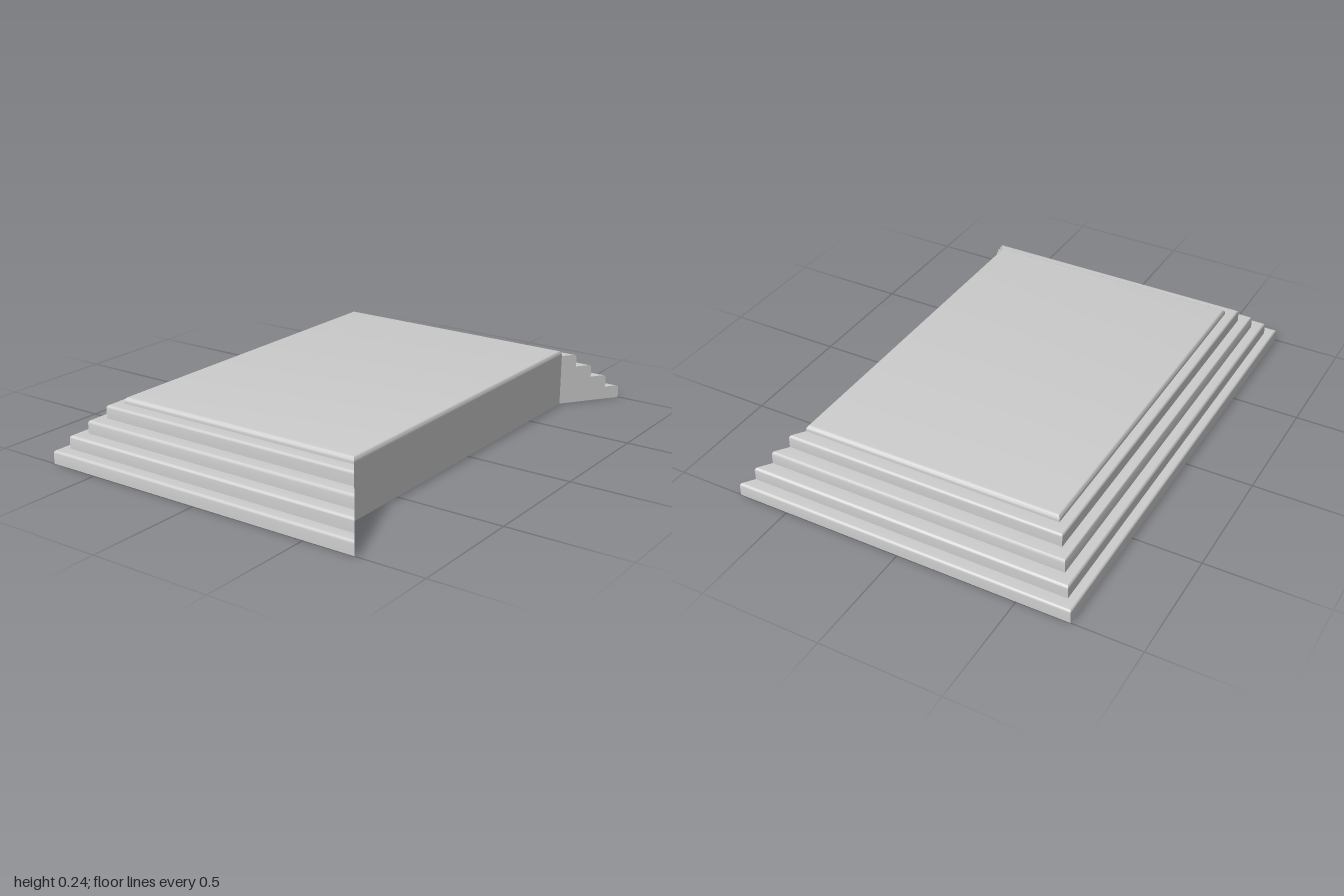
import * as THREE from 'three';
import { toCreasedNormals } from 'three/addons/utils/BufferGeometryUtils.js';

// Top slab half-sizes, and how far the steps spread beyond it
const TOP_X = 0.55, TOP_Z = 0.77, SPREAD_X = 0.167, SPREAD_Z = 0.23;

// Outline at spread t (1 = ground step, 0 = top slab). The +x side has no steps,
// so its two inner corners stay on the slab and leave mitred step ends.
function outline(t, y) {
  const x = TOP_X + SPREAD_X * t, z = TOP_Z + SPREAD_Z * t;
  const ix = Math.min(x, TOP_X), iz = Math.min(z, TOP_Z);
  return [[x, z], [-x, z], [-x, -z], [x, -z], [ix, -iz], [ix, iz]]
    .map(([px, pz]) => new THREE.Vector3(px, y, pz));
}

// Step profile: riser, rounded nosing, tread
function buildSections() {
  const steps = [ // spread, top height, nosing inset, nosing height
    [1, 0.055, 0.05, 0.011],
    [0.77, 0.109, 0.05, 0.011],
    [0.51, 0.163, 0.05, 0.011],
    [0.25, 0.217, 0.05, 0.011],
    [0, 0.242, 0.08, 0.018],
  ];
  const sections = [];
  let base = 0;
  for (const [t, top, inset, drop] of steps) {
    sections.push(outline(t, base));
    for (let i = 0; i <= 4; i++) {
      const a = (i / 4) * Math.PI / 2;
      sections.push(outline(t - inset * (1 - Math.cos(a)), top - drop * (1 - Math.sin(a))));
    }
    base = top;
  }
  return sections;
}

function steppedGeometry() {
  const sections = buildSections();
  const positions = [];
  const tri = (a, b, c) => {
    if (new THREE.Triangle(a, b, c).getArea() < 1e-7) return;
    for (const p of [a, b, c]) positions.push(p.x, p.y, p.z);
  };
  // Skin between neighbouring outlines
  for (let s = 0; s < sections.length - 1; s++) {
    const lo = sections[s], hi = sections[s + 1];
    for (let i = 0; i < 6; i++) {
      const j = (i + 1) % 6;
      tri(lo[j], lo[i], hi[i]);
      tri(lo[j], hi[i], hi[j]);
    }
  }
  // Notched underside and flat top
  const b = sections[0], t = sections[sections.length - 1];
  for (const [i, j, k] of [[5, 0, 1], [5, 1, 2], [5, 2, 4], [4, 2, 3]]) tri(b[i], b[j], b[k]);
  tri(t[0], t[3], t[2]);
  tri(t[0], t[2], t[1]);

  const geometry = new THREE.BufferGeometry();
  geometry.setAttribute('position', new THREE.Float32BufferAttribute(positions, 3));
  return toCreasedNormals(geometry, 0.5);
}

export function createModel() {
  const group = new THREE.Group();
  group.name = 'steppedPlatform';
  const platform = new THREE.Mesh(
    steppedGeometry(),
    new THREE.MeshStandardMaterial({ color: 0xcccccc })
  );
  platform.name = 'platformWithSteps';
  group.add(platform);
  return group;
}
